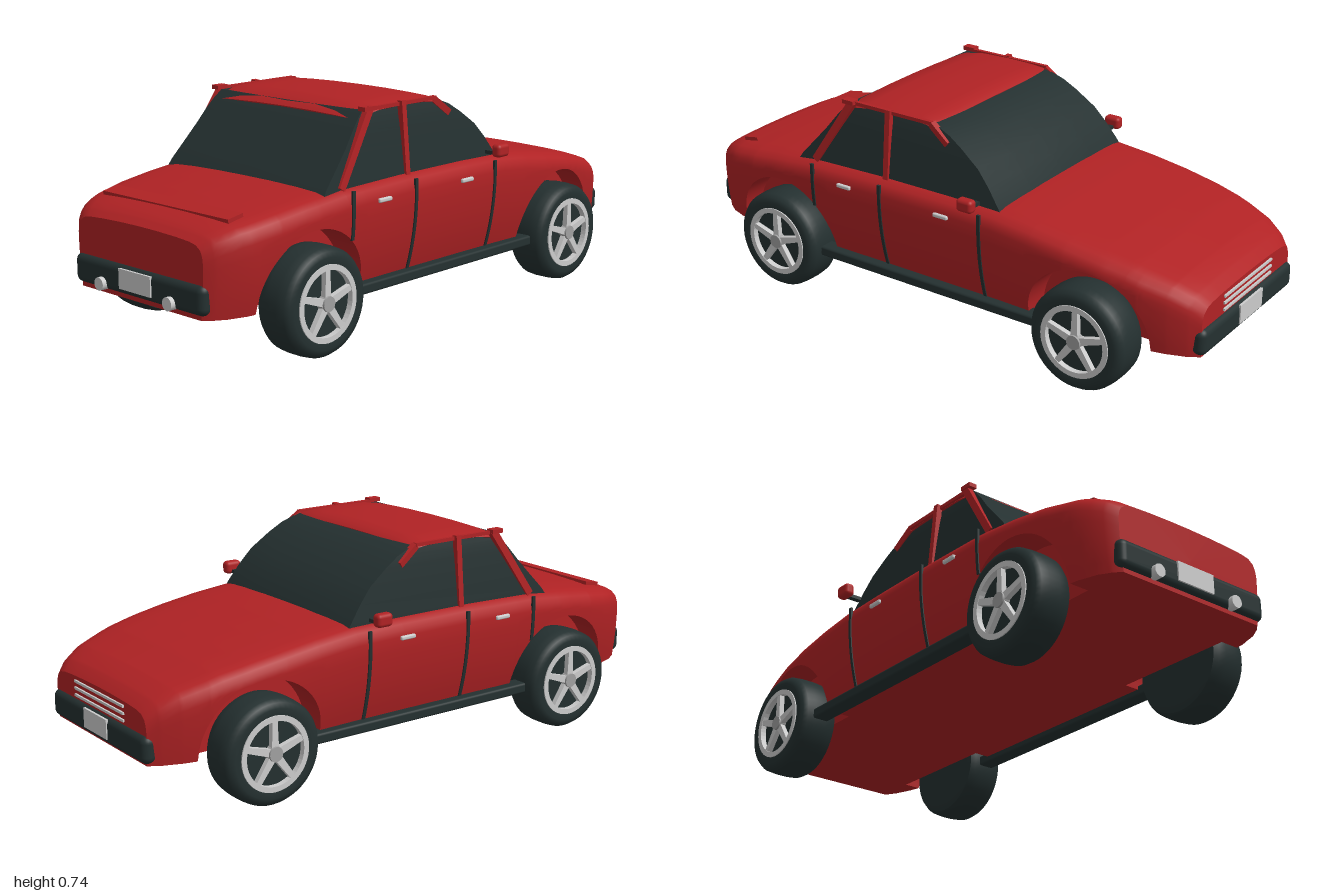
import * as THREE from 'three';
import { toCreasedNormals } from 'three/addons/utils/BufferGeometryUtils.js';
import { RoundedBoxGeometry } from 'three/addons/geometries/RoundedBoxGeometry.js';

const mat = (name, color) => Object.assign(new THREE.MeshStandardMaterial({ color }), { name });
const red = mat('red paint', 0xb02224);
const dark = mat('dark rubber and glass', 0x243030);
const silver = mat('silver trim', 0xcccccc);
const grey = mat('grey hub', 0xa0a0a0);

const FLOOR = 0.17, ARCH_R = 0.215, AXLES = [-0.605, 0.622];
const SHOULDER = 0.065;

// Linear lookup in a list of [x, value]
function lookup(table, x) {
  for (let i = 1; i < table.length; i++) {
    const [x0, v0] = table[i - 1], [x1, v1] = table[i];
    if (x <= x1) return v0 + (v1 - v0) * Math.max(0, (x - x0) / (x1 - x0));
  }
  return table[table.length - 1][1];
}
const TOP = [[-0.97, 0.407], [-0.94, 0.428], [-0.875, 0.45], [-0.75, 0.471], [-0.63, 0.487], [-0.47, 0.503], [-0.2, 0.51],
  [0.1, 0.511], [0.28, 0.508], [0.42, 0.494], [0.54, 0.477], [0.65, 0.459], [0.757, 0.438], [0.89, 0.4], [0.95, 0.37], [0.98, 0.342]];
const WIDTH = [[-0.97, 0.29], [-0.95, 0.315], [-0.91, 0.345], [-0.85, 0.37], [-0.75, 0.388], [-0.6, 0.397], [-0.4, 0.4],
  [0.4, 0.4], [0.55, 0.397], [0.68, 0.387], [0.8, 0.368], [0.88, 0.345], [0.94, 0.318], [0.98, 0.29]];

// Half width of the body side at a given x and height
function sideZ(x, y) {
  const drop = Math.max(0, lookup(TOP, x) - SHOULDER - y);
  return lookup(WIDTH, x) * (1 - 0.09 * (drop / 0.25) ** 2);
}

// Skin closed rings of [x, y, z] points and cap both ends
function loft(rings, crease = 0.6) {
  const n = rings[0].length, pos = rings.flat(2), idx = [];
  rings.forEach((ring, i) => {
    if (i === rings.length - 1) return;
    for (let j = 0; j < n; j++) {
      const a = i * n + j, b = i * n + (j + 1) % n;
      idx.push(a, b, a + n, b, b + n, a + n);
    }
  });
  [0, rings.length - 1].forEach((i) => {
    const c = pos.length / 3;
    for (let k = 0; k < 3; k++) pos.push(rings[i].reduce((s, p) => s + p[k], 0) / n);
    for (let j = 0; j < n; j++) {
      const a = i * n + j, b = i * n + (j + 1) % n;
      if (i) idx.push(c, a, b); else idx.push(c, b, a);
    }
  });
  const g = new THREE.BufferGeometry();
  g.setAttribute('position', new THREE.Float32BufferAttribute(pos, 3));
  g.setIndex(idx);
  return toCreasedNormals(g, crease);
}

// Complete a half section of [z, y] points to a full ring at x
function mirrorRing(x, half) {
  const other = half.slice(1, -1).reverse().map(([z, y]) => [-z, y]);
  return [...half, ...other].map(([z, y]) => [x, y, z]);
}

// Body section with the wheel wells cut into its lower sides
function bodyRing(x) {
  const T = lookup(TOP, x), w = lookup(WIDTH, x);
  let low = FLOOR;
  AXLES.forEach((c) => {
    const d = Math.abs(x - c);
    if (d <= ARCH_R + 1e-6) low = 0.18 + Math.sqrt(Math.max(0, ARCH_R ** 2 - d * d));
  });
  const half = [[0, T], [0.3 * w, T - 0.001], [0.6 * w, T - 0.004], [0.8 * w, T - 0.008],
    [0.9 * w, T - 0.014], [0.965 * w, T - 0.028], [0.99 * w, T - 0.045]];
  const top = T - SHOULDER;
  for (let k = 0; k <= 6; k++) {
    const y = top + (low - top) * k / 6;
    half.push([sideZ(x, y), y]);
  }
  const inner = Math.min(0.28, sideZ(x, FLOOR) * 0.9);
  half.push([inner, low], [inner, FLOOR], [0, FLOOR]);
  return mirrorRing(x, half);
}

function bodyGeometry() {
  const xs = [...TOP, ...WIDTH].map((p) => p[0]);
  AXLES.forEach((c) => {
    xs.push(c - ARCH_R - 0.001, c + ARCH_R + 0.001);
    for (let k = 0; k <= 28; k++) xs.push(c - ARCH_R * Math.cos(Math.PI * k / 28));
  });
  const sorted = xs.sort((a, b) => a - b).filter((x, i, l) => !i || x - l[i - 1] > 0.0005);
  return loft(sorted.map(bodyRing));
}

function wheel() {
  const g = new THREE.Group();
  // Tyre profile from inner face to the dished outer face
  const profile = [[0, -0.07], [0.14, -0.07], [0.16, -0.064], [0.17, -0.048], [0.173, -0.02], [0.173, 0.02],
    [0.17, 0.05], [0.16, 0.065], [0.143, 0.071], [0.122, 0.068], [0.118, 0.05], [0, 0.05]];
  const tyre = new THREE.LatheGeometry(profile.map(([r, y]) => new THREE.Vector2(r, y)), 48);
  add(g, 'tyre', toCreasedNormals(tyre.rotateX(Math.PI / 2), 0.7), dark);
  const ring = new THREE.Shape().absarc(0, 0, 0.122, 0, Math.PI * 2);
  ring.holes.push(new THREE.Path().absarc(0, 0, 0.104, 0, Math.PI * 2, true));
  const opts = { depth: 0.02, bevelEnabled: false, curveSegments: 24 };
  add(g, 'rim', new THREE.ExtrudeGeometry(ring, opts), silver, 0, 0, 0.052);
  const spoke = new THREE.Shape([[-0.013, 0.01], [0.013, 0.01], [0.009, 0.108], [-0.009, 0.108]].map((p) => new THREE.Vector2(...p)));
  for (let k = 0; k < 5; k++) {
    add(g, 'spoke', new THREE.ExtrudeGeometry(spoke, { depth: 0.018, bevelEnabled: false }), silver, 0, 0, 0.052)
      .rotation.z = k * Math.PI * 0.4;
  }
  add(g, 'hub', new THREE.CylinderGeometry(0.024, 0.027, 0.028, 20).rotateX(Math.PI / 2), grey, 0, 0, 0.062);
  return g;
}

function add(parent, name, geometry, material, x = 0, y = 0, z = 0) {
  const m = new THREE.Mesh(geometry, material);
  m.name = name;
  m.position.set(x, y, z);
  parent.add(m);
  return m;
}
const box = (w, h, d) => new THREE.BoxGeometry(w, h, d);

// Straight bar between two points in a plane of constant z, leaning with the glass
function pillar(parent, name, [x0, y0, z0], [x1, y1, z1], wide) {
  const a = new THREE.Vector3(x0, y0, z0), b = new THREE.Vector3(x1, y1, z1);
  const m = add(parent, name, box(wide, a.distanceTo(b), 0.02), red);
  m.position.copy(a).lerp(b, 0.5);
  m.quaternion.setFromUnitVectors(new THREE.Vector3(0, 1, 0), b.sub(a).normalize());
}

export function createModel() {
  const car = new THREE.Group();
  car.name = 'car';
  add(car, 'body', bodyGeometry(), red);

  // Glasshouse: layers of [height, rear x, front x, half width]
  const layers = [[0.47, -0.55, 0.3, 0.362], [0.5, -0.53, 0.285, 0.358], [0.56, -0.475, 0.24, 0.35], [0.61, -0.43, 0.195, 0.343],
    [0.66, -0.39, 0.125, 0.335], [0.69, -0.362, 0.075, 0.329], [0.715, -0.335, 0.01, 0.322]];
  add(car, 'glasshouse', loft(layers.map(([y, r, f, w]) => [[r, y, w], [f, y, w], [f + 0.008, y, w * 0.5], [f + 0.01, y, 0],
    [f + 0.008, y, -w * 0.5], [f, y, -w], [r, y, -w], [r - 0.005, y, 0]])), dark);

  // Crowned roof panel
  const roof = [[-0.362, 0.698], [-0.33, 0.722], [-0.26, 0.733], [-0.15, 0.736], [-0.05, 0.734], [0.0, 0.729], [0.018, 0.717]];
  add(car, 'roof', loft(roof.map(([x, y]) => mirrorRing(x, [[0, y], [0.12, y - 0.001], [0.22, y - 0.004],
    [0.3, y - 0.008], [0.322, y - 0.014], [0.329, y - 0.024], [0.31, y - 0.032], [0, y - 0.032]]))), red);

  for (const s of [1, -1]) {
    // Pillars and their roof brackets
    pillar(car, 'centrePillar', [-0.165, 0.49, s * 0.357], [-0.165, 0.728, s * 0.336], 0.02);
    pillar(car, 'rearPillar', [-0.47, 0.49, s * 0.357], [-0.318, 0.722, s * 0.336], 0.026);
    pillar(car, 'frontPillar', [0.0, 0.714, s * 0.324], [0.07, 0.662, s * 0.331], 0.022);
    add(car, 'roofBracket', box(0.045, 0.014, 0.03), red, -0.33, 0.722, s * 0.336);
    add(car, 'roofRail', box(0.34, 0.012, 0.014), red, -0.165, 0.718, s * 0.329);

    // Door gaps following the body side
    [[-0.455, 0.335, 0.49], [-0.165, 0.18, 0.485], [0.237, 0.18, 0.485]].forEach(([x, y0, y1]) => {
      const g = box(0.012, y1 - y0, 0.008, 1, 1, 1);
      const strip = new THREE.BoxGeometry(0.012, y1 - y0, 0.008, 1, 10, 1).translate(x, (y0 + y1) / 2, 0);
      g.dispose();
      const p = strip.attributes.position;
      for (let i = 0; i < p.count; i++) p.setZ(i, p.getZ(i) + s * sideZ(x, p.getY(i)));
      strip.computeVertexNormals();
      add(car, 'doorGap', strip, dark);
    });
    [-0.315, 0.088].forEach((x) => add(car, 'doorHandle', new RoundedBoxGeometry(0.058, 0.014, 0.014, 2, 0.005), silver, x, 0.442, s * 0.402));
    add(car, 'sill', new RoundedBoxGeometry(0.92, 0.035, 0.06, 2, 0.008), dark, 0.01, 0.168, s * 0.365);
    add(car, 'mirrorStalk', box(0.02, 0.012, 0.05), dark, 0.218, 0.516, s * 0.405);
    add(car, 'mirror', new RoundedBoxGeometry(0.06, 0.044, 0.036, 3, 0.013), red, 0.217, 0.528, s * 0.438);
    add(car, 'exhaust', new THREE.CylinderGeometry(0.021, 0.021, 0.1, 20).rotateZ(Math.PI / 2), silver, -0.95, 0.203, s * 0.16);

    AXLES.forEach((x) => {
      const w = wheel();
      w.name = 'wheel';
      w.position.set(x, 0.174, s * 0.366);
      if (s < 0) w.rotation.y = Math.PI;
      car.add(w);
    });
  }

  // Bumpers, number plates, grille bars and boot lip
  add(car, 'frontBumper', new RoundedBoxGeometry(0.09, 0.09, 0.6, 4, 0.024), dark, 0.951, 0.219, 0);
  add(car, 'rearBumper', new RoundedBoxGeometry(0.07, 0.095, 0.6, 4, 0.024), dark, -0.95, 0.23, 0);
  add(car, 'frontPlate', box(0.008, 0.064, 0.148), silver, 0.996, 0.228, 0);
  add(car, 'rearPlate', box(0.008, 0.064, 0.148), silver, -0.986, 0.235, 0);
  [0.277, 0.3, 0.323].forEach((y) => add(car, 'grilleBar', box(0.01, 0.008, 0.316), silver, 0.981, y, 0));
  add(car, 'bootLip', box(0.06, 0.014, 0.58), red, -0.84, 0.454, 0).rotation.z = 0.17;
  return car;
}
